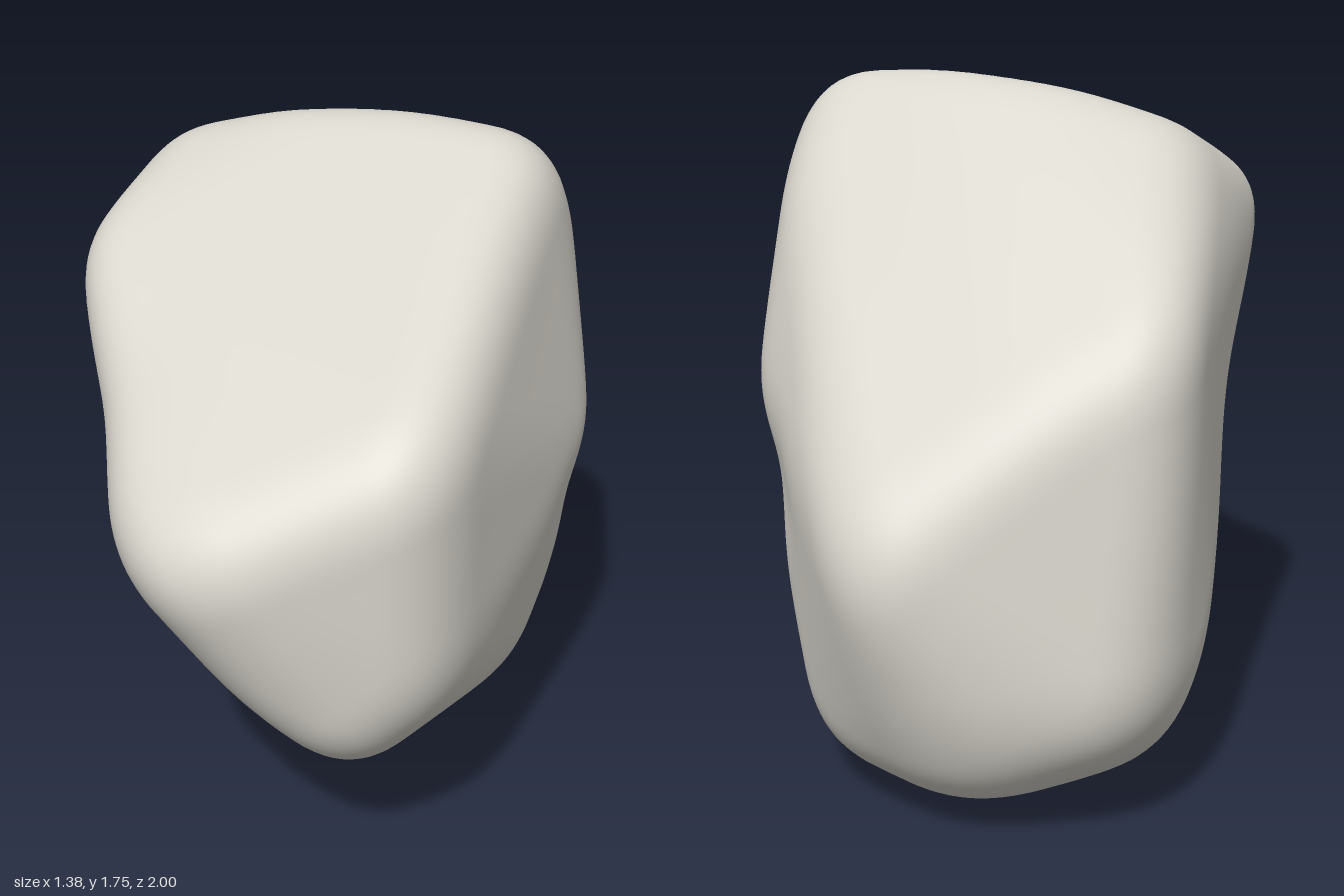
import * as THREE from 'three';
import { mergeVertices } from 'three/addons/utils/BufferGeometryUtils.js';
import { ConvexGeometry } from 'three/addons/geometries/ConvexGeometry.js';

const V = (x = 0, y = 0, z = 0) => new THREE.Vector3(x, y, z);
const CENTRE = V(0, 0.85, -0.02);

// Points on the weathered boulder's corners and ridges
const landmarks = [
  // crest and upper left shoulder
  V(0.45, 1.7, 0.2), V(0.2, 1.75, 0.02), V(-0.05, 1.725, -0.15), V(-0.36, 1.61, -0.36), V(-0.65, 1.43, -0.03),
  // front face
  V(-0.685, 0.98, 0.72), V(-0.6, 1.01, 0.87), V(-0.02, 1.265, 0.945), V(-0.17, 0.85, 0.985), V(0.0, 0.65, 0.95),
  V(-0.21, 0.43, 0.86), V(-0.45, 0.6, 0.77),
  // right side
  V(0.54, 1.58, 0.1), V(0.645, 1.22, -0.05), V(0.69, 0.97, -0.1), V(0.6, 0.92, 0.28), V(0.44, 0.85, 0.48),
  V(0.635, 0.42, -0.25), V(0.57, 0.14, -0.42), V(0.35, 0.38, 0.46), V(0.54, 0.38, 0.14),
  // back face
  V(-0.18, 1.22, -0.86), V(0.15, 1.07, -0.88), V(0.575, 0.74, -0.865), V(0.32, 0.48, -0.94),
  V(0.1, 0.32, -0.975), V(-0.08, 0.33, -0.96), V(0.4, 0.27, -0.87), V(-0.3, 0.35, -0.72),
  // underside
  V(0.12, 0, -0.3), V(-0.2, 0.15, -0.66), V(0.3, 0.1, -0.78), V(0.42, 0.1, 0.0),
  V(0, 0.045, 0), V(-0.06, 0.12, 0.2), V(-0.12, 0.22, 0.45), V(0.08, 0.22, 0.48),
];

// Hollows worn into the faces: position, depth as a share of the radius, width
const hollows = [
  [V(-0.5, 0.82, -0.15), 0.11, 0.3],
  [V(-0.28, 0.3, -0.07), 0.19, 0.2],
  [V(-0.32, 0.45, 0.5), 0.04, 0.16],
  [V(-0.68, 1.17, 0.35), 0.025, 0.2],
  [V(0.6, 0.79, 0.3), 0.025, 0.16],
  [V(0.66, 0.78, 0.05), 0.035, 0.17],
  [V(0.67, 0.76, -0.22), 0.035, 0.17],
  [V(0.43, 0.09, -0.38), 0.02, 0.08],
];

// Face planes of the convex hull round a set of corners
function hullPlanes(corners) {
  const pos = new ConvexGeometry(corners).attributes.position;
  const planes = [];
  for (let i = 0; i < pos.count; i += 3) {
    const [a, b, c] = [0, 1, 2].map((k) => V().fromBufferAttribute(pos, i + k));
    planes.push(new THREE.Plane().setFromCoplanarPoints(a, b, c));
  }
  return planes;
}

function hullRadius(planes, d) {
  let r = 10;
  for (const p of planes) {
    const k = p.normal.dot(d);
    if (k > 1e-4) r = Math.min(r, -p.constant / k);
  }
  return r;
}

// Hull radius averaged over a small cone, which rounds the edges
function roundedRadius(planes, d) {
  const u = (Math.abs(d.y) > 0.8 ? V(1, 0, 0) : V(0, 1, 0)).cross(d).normalize();
  const w = V().crossVectors(d, u);
  const s = V();
  let sum = hullRadius(planes, d), n = 1;
  for (const [spread, count] of [[0.045, 8], [0.09, 14], [0.135, 20]]) {
    for (let k = 0; k < count; k++) {
      const a = (k / count) * Math.PI * 2;
      s.copy(d).addScaledVector(u, Math.cos(a) * spread).addScaledVector(w, Math.sin(a) * spread);
      sum += hullRadius(planes, s.normalize());
      n++;
    }
  }
  return sum / n;
}

// Push the hull corners out until the rounded surface passes through the landmarks
function sharpenedPlanes() {
  const targets = landmarks.map((p) => p.clone().sub(CENTRE));
  const corners = targets.map((p) => p.clone());
  for (let pass = 0; pass < 6; pass++) {
    const planes = hullPlanes(corners);
    targets.forEach((t, i) => {
      const length = t.length();
      const miss = length - roundedRadius(planes, t.clone().normalize());
      const next = THREE.MathUtils.clamp(corners[i].length() + miss * 0.7, length * 0.97, length * 1.12);
      corners[i].setLength(next);
    });
  }
  return hullPlanes(corners);
}

function rockGeometry() {
  const planes = sharpenedPlanes();
  let geo = new THREE.IcosahedronGeometry(1, 42);
  geo.deleteAttribute('normal');
  geo.deleteAttribute('uv');
  geo = mergeVertices(geo, 1e-4);
  const pos = geo.attributes.position;
  const d = V(), s = V();
  for (let i = 0; i < pos.count; i++) {
    d.fromBufferAttribute(pos, i).normalize();
    const r = roundedRadius(planes, d);
    s.copy(d).multiplyScalar(r).add(CENTRE);
    let scale = 1;
    for (const [at, depth, width] of hollows) {
      scale -= depth * Math.exp(-s.distanceToSquared(at) / (width * width));
    }
    s.copy(d).multiplyScalar(r * scale).add(CENTRE);
    pos.setXYZ(i, s.x, s.y, s.z);
  }
  geo.computeVertexNormals();
  return geo;
}

export function createModel() {
  const group = new THREE.Group();
  group.name = 'boulder';
  const stone = new THREE.MeshStandardMaterial({ color: 0xdad7ce });
  stone.name = 'stone grey';
  const rock = new THREE.Mesh(rockGeometry(), stone);
  rock.name = 'rock';
  group.add(rock);
  return group;
}
